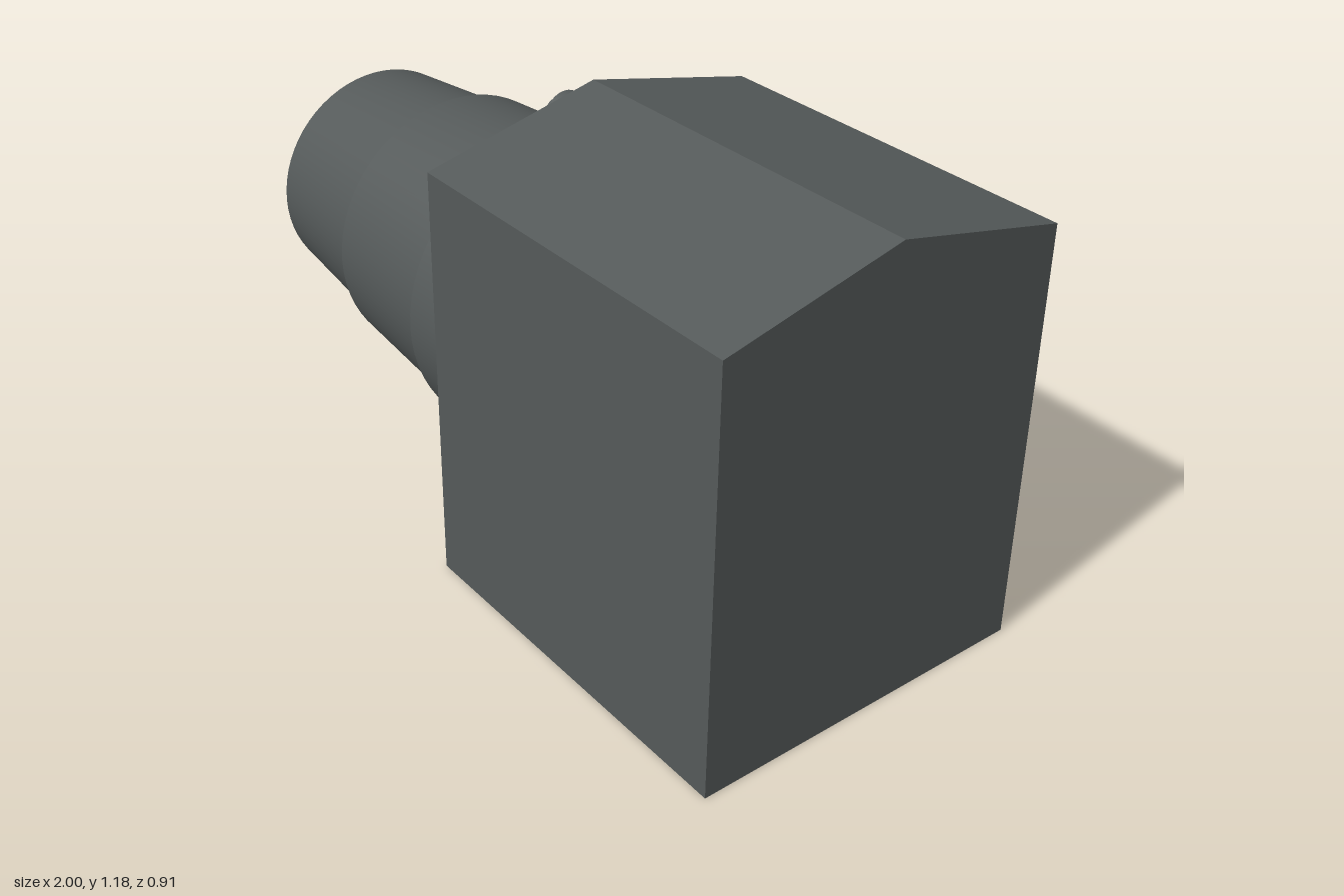
import * as THREE from 'three';
import { toCreasedNormals } from 'three/addons/utils/BufferGeometryUtils.js';

export function createModel() {
  const model = new THREE.Group();
  const darkGrey = new THREE.MeshStandardMaterial({ color: 0x555a5a });
  darkGrey.name = 'dark grey';

  const add = (name, geometry, x = 0, y = 0, z = 0) => {
    const mesh = new THREE.Mesh(geometry, darkGrey);
    mesh.name = name;
    mesh.position.set(x, y, z);
    model.add(mesh);
    return mesh;
  };

  // Revolve [distance along -x, radius] pairs about the x axis
  const turned = (profile, segments) =>
    new THREE.LatheGeometry(profile.map(([d, r]) => new THREE.Vector2(r, d)), segments)
      .rotateZ(Math.PI / 2);

  // Block with a shallow ridge along its top
  const section = new THREE.Shape();
  section.moveTo(-0.457, 0);
  section.lineTo(0.457, 0);
  section.lineTo(0.457, 1.08);
  section.lineTo(0, 1.185);
  section.lineTo(-0.457, 1.08);
  section.closePath();
  add('housing', new THREE.ExtrudeGeometry(section, { depth: 0.997, bevelEnabled: false })
    .rotateY(Math.PI / 2), 0.003);

  // Tapered barrel with two stepped collars and a flat rim
  const barrelY = 0.572, bore = 0.225;
  const barrel = turned([
    [-0.01, 0.412], [0.2, 0.403], [0.22, 0.386], [0.6, 0.36],
    [0.62, 0.338], [1, 0.302], [1, bore],
  ], 64);
  add('barrel', toCreasedNormals(barrel, 0.5), 0, barrelY);

  // Faceted bore, closed at the housing
  const boreGeometry = turned([[1, bore], [0, bore], [0, 0]], 32).toNonIndexed();
  boreGeometry.computeVertexNormals();
  add('bore', boreGeometry, 0, barrelY);

  // Small pin above the barrel with a narrower tip
  const pin = (radius, length) =>
    new THREE.CylinderGeometry(radius, radius, length, 32).rotateZ(Math.PI / 2);
  add('pin', pin(0.056, 0.12), -0.052, 1.063, -0.002);
  add('pinTip', pin(0.035, 0.045), -0.124, 1.055, -0.003);

  return model;
}
